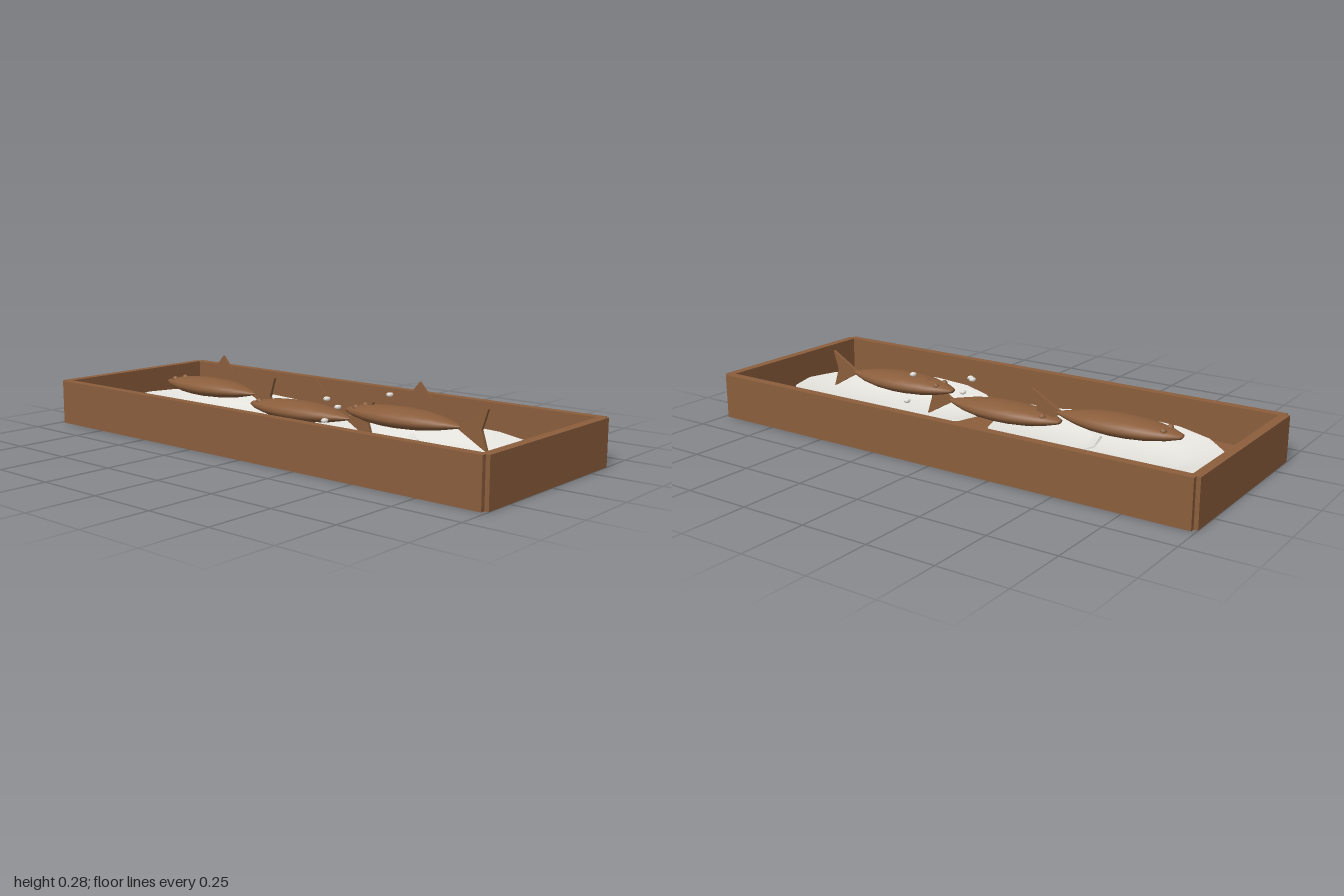
import * as THREE from 'three';
import { toCreasedNormals } from 'three/addons/utils/BufferGeometryUtils.js';

const brown = new THREE.MeshStandardMaterial({ color: 0x8b5e3c });
brown.name = 'brown';
const ice = new THREE.MeshStandardMaterial({ color: 0xe8e6e0 });
ice.name = 'iceWhite';

function add(parent, name, geometry, material, x = 0, y = 0, z = 0) {
  const mesh = new THREE.Mesh(geometry, material);
  mesh.name = name;
  mesh.position.set(x, y, z);
  parent.add(mesh);
  return mesh;
}

// Flat plate cut from an outline and centred on z = 0
function fin(points, depth) {
  const shape = new THREE.Shape(points.map(([x, y]) => new THREE.Vector2(x, y)));
  return new THREE.ExtrudeGeometry(shape, { depth, bevelEnabled: false }).translate(0, 0, -depth / 2);
}

const profile = (pts) => pts.map(([r, y]) => new THREE.Vector2(r, y));

// Shallow oval dish of ice with a raised rim
function iceBed() {
  const pts = profile([[0, 0], [0.68, 0], [1, 0.045], [0.99, 0.05], [0.96, 0.05], [0.66, 0.01], [0, 0.01]]);
  const dish = new THREE.LatheGeometry(pts, 16).scale(0.44, 1, 0.295);
  return toCreasedNormals(dish, 0.6);
}

// Flattened spindle body lying along x, nose towards -x
function fishBody() {
  const pts = profile([[0, -0.245], [0.02, -0.24], [0.047, -0.195], [0.072, -0.125], [0.083, -0.055],
    [0.085, 0.005], [0.077, 0.08], [0.058, 0.145], [0.032, 0.2], [0.012, 0.238], [0, 0.242]]);
  return new THREE.LatheGeometry(pts, 14).rotateZ(-Math.PI / 2).scale(1, 0.42, 1);
}

function createFish() {
  const fish = new THREE.Group();
  fish.name = 'fish';
  add(fish, 'body', fishBody(), brown);
  add(fish, 'tailFin', fin([[0.225, -0.004], [0.345, -0.072], [0.322, 0], [0.345, 0.072], [0.225, 0.004]], 0.012), brown);
  add(fish, 'dorsalFin', fin([[0.025, 0.08], [0.12, 0.08], [0.072, 0.133]], 0.008), brown);
  for (const side of [-1, 1]) {
    add(fish, 'eye', new THREE.SphereGeometry(0.012, 8, 6), brown, -0.185, 0.016, side * 0.027);
  }
  return fish;
}

export function createModel() {
  const model = new THREE.Group();
  model.name = 'fishTray';

  // Open wooden tray
  add(model, 'trayFloor', new THREE.BoxGeometry(1.96, 0.03, 0.72), brown, 0, 0.015, 0);
  for (const side of [-1, 1]) {
    add(model, 'longWall', new THREE.BoxGeometry(1.97, 0.17, 0.034), brown, 0, 0.085, side * 0.363);
    add(model, 'endWall', new THREE.BoxGeometry(0.034, 0.17, 0.726), brown, side * 0.983, 0.085, 0);
  }

  // Three ice beds, the middle one sunk into the floor, each with a fish
  for (const i of [-1, 0, 1]) {
    const lift = i === 0 ? 0 : 0.035;
    add(model, 'iceBed', iceBed(), ice, i * 0.47, lift + 0.001, 0);
    const fish = createFish();
    fish.position.set(-0.055 + i * 0.472, 0.113 + lift, 0);
    model.add(fish);
  }

  // Loose ice chips
  const chips = [[0.285, 0.125, -0.135], [0.31, 0.207, -0.065], [0.13, 0.15, 0.005],
    [0.125, 0.187, 0.06], [0.235, 0.144, 0.2]];
  for (const [x, y, z] of chips) {
    const chip = new THREE.SphereGeometry(0.015, 6, 4).scale(0.9, 0.55, 1);
    add(model, 'iceChip', chip, ice, x, y, z);
  }
  return model;
}
